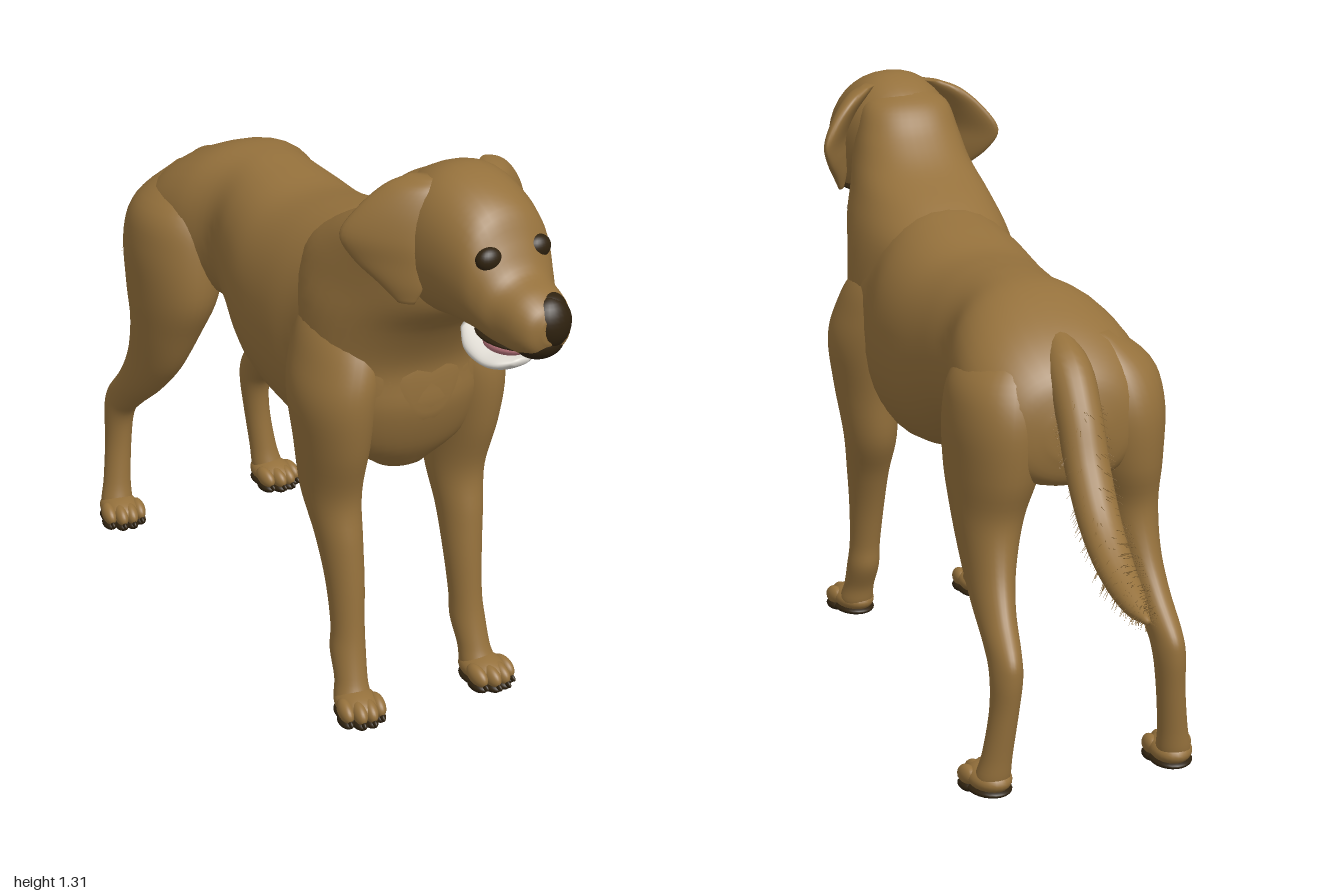
import * as THREE from 'three';
import { mergeGeometries } from 'three/addons/utils/BufferGeometryUtils.js';

const V = (x, y, z) => new THREE.Vector3(x, y, z);
const X = V(1, 0, 0), Y = V(0, 1, 0), Z = V(0, 0, 1);

const mat = (name, color) => {
  const m = new THREE.MeshStandardMaterial({ color });
  m.name = name;
  return m;
};

// Smooth closed skin through rings [x, y, z, radiusA, radiusB]; A and B are the ring's axes.
// Without B the rings stand square to the path.
function loft(rings, A, B, power = 2, seg = 36, sub = 5) {
  const path = new THREE.CatmullRomCurve3(rings.map(r => V(r[0], r[1], r[2])), false, 'catmullrom', 0.5);
  const radii = new THREE.CatmullRomCurve3(rings.map(r => V(r[3], r[4], 0)), false, 'catmullrom', 0.5);
  const n = (rings.length - 1) * sub, pos = [], idx = [];
  const round = v => Math.sign(v) * Math.abs(v) ** (2 / power);
  for (let i = 0; i <= n; i++) {
    const c = path.getPoint(i / n), r = radii.getPoint(i / n);
    const b = B || path.getTangent(i / n).cross(A).normalize();
    for (let j = 0; j < seg; j++) {
      const a = (j / seg) * Math.PI * 2;
      const p = c.clone().addScaledVector(A, round(Math.cos(a)) * r.x).addScaledVector(b, round(Math.sin(a)) * r.y);
      pos.push(p.x, p.y, p.z);
      if (i < n) {
        const k = i * seg, j2 = (j + 1) % seg;
        idx.push(k + j, k + j2, k + seg + j, k + j2, k + seg + j2, k + seg + j);
      }
    }
  }
  // end caps
  const first = pos.length / 3, a = path.getPoint(0), b = path.getPoint(1), k = n * seg;
  pos.push(a.x, a.y, a.z, b.x, b.y, b.z);
  for (let j = 0; j < seg; j++) {
    const j2 = (j + 1) % seg;
    idx.push(first, j2, j, first + 1, k + j, k + j2);
  }
  // turn the faces outward
  const at = i => V(pos[3 * i], pos[3 * i + 1], pos[3 * i + 2]);
  let volume = 0;
  for (let i = 0; i < idx.length; i += 3) volume += at(idx[i]).dot(at(idx[i + 1]).cross(at(idx[i + 2])));
  if (volume < 0) idx.reverse();
  const g = new THREE.BufferGeometry();
  g.setAttribute('position', new THREE.Float32BufferAttribute(pos, 3));
  g.setIndex(idx);
  g.computeVertexNormals();
  return g;
}

export function createModel() {
  const coat = mat('golden brown coat', 0x95713c);
  const dark = mat('dark brown skin', 0x2f220f);
  const pink = mat('pink tongue', 0xb9747c);
  const white = mat('white jaw', 0xdedad2);

  const dog = new THREE.Group();
  dog.name = 'dog';
  const add = (parent, name, geo, material) => {
    const m = new THREE.Mesh(geo, material);
    m.name = name;
    parent.add(m);
    return m;
  };
  const ball = (parent, name, material, p, r, tilt = 0) => {
    const m = add(parent, name, new THREE.SphereGeometry(1, 24, 16), material);
    m.position.set(...p);
    m.scale.set(...r);
    m.rotation.x = tilt;
    return m;
  };

  // Trunk, from chest to rump
  add(dog, 'torso', loft([
    [0, .77, .575, .05, .06], [0, .775, .53, .15, .165], [0, .79, .43, .2, .245], [.005, .793, .31, .196, .277],
    [.01, .795, .2, .21, .265], [.01, .802, .05, .205, .233], [.015, .838, -.08, .178, .203],
    [.018, .855, -.18, .16, .193], [.013, .86, -.28, .192, .182], [.01, .84, -.38, .207, .165],
    [.01, .805, -.46, .19, .152], [.01, .785, -.515, .14, .115], [.01, .78, -.538, .06, .05]], X, Y, 2.2), coat);

  // Neck and breast
  add(dog, 'neck', loft([
    [0, .55, .44, .06, .05], [0, .62, .45, .15, .09], [0, .72, .435, .19, .14], [0, .82, .41, .2, .168],
    [0, .92, .41, .193, .22], [.003, 1.0, .435, .174, .265], [0, 1.07, .495, .152, .222],
    [-.003, 1.13, .565, .134, .163], [-.007, 1.19, .6, .12, .115], [-.01, 1.25, .625, .1, .08],
    [-.01, 1.28, .64, .05, .04]], X, Z, 2.15), coat);

  ball(dog, 'bellyFold', coat, [.01, .635, -.11], [.022, .026, .055], .6);

  // Legs and paws
  const foreRings = [
    [.07, .97, .37, .04, .07], [.11, .89, .395, .082, .12], [.14, .81, .415, .088, .135], [.157, .73, .428, .088, .13],
    [.16, .62, .43, .073, .11], [.155, .5, .42, .061, .084], [.152, .4, .45, .049, .064], [.149, .3, .473, .041, .05],
    [.15, .2, .488, .036, .042], [.153, .14, .495, .038, .044], [.157, .08, .517, .036, .038],
    [.161, .04, .53, .04, .042], [.161, .02, .53, .03, .03]];
  const hindRings = [
    [.08, .965, -.36, .04, .07], [.115, .89, -.365, .1, .13], [.13, .8, -.37, .11, .157], [.142, .68, -.367, .095, .153],
    [.155, .58, -.377, .074, .117], [.167, .48, -.415, .054, .098], [.177, .4, -.475, .042, .082],
    [.184, .33, -.55, .035, .068], [.187, .28, -.58, .034, .048], [.192, .2, -.581, .031, .037],
    [.203, .1, -.57, .033, .034], [.21, .045, -.56, .038, .038], [.21, .02, -.555, .03, .03]];
  const paw = (name, x, z, s) => {
    const p = new THREE.Group();
    p.name = name;
    p.position.set(x, 0, z);
    p.rotation.y = s * .12;
    ball(p, 'pawBody', coat, [0, .037, -.01], [.047, .03, .065]);
    ball(p, 'solePad', dark, [0, .014, -.01], [.048, .014, .062]);
    for (let i = 0; i < 4; i++) {
      const o = i - 1.5, front = .042 - Math.abs(o) * .016;
      ball(p, 'toe', coat, [o * .025, .037, front], [.0165, .022, .034], .25);
      ball(p, 'toePad', dark, [o * .025, .012, front + .002], [.0165, .012, .03]);
      ball(p, 'claw', dark, [o * .025, .021, front + .031], [.005, .007, .011], .4);
    }
    dog.add(p);
  };
  for (const s of [1, -1]) {
    const side = s > 0 ? 'left' : 'right';
    const mirror = rings => rings.map(([x, ...r]) => [s * x, ...r]);
    add(dog, side + 'Foreleg', loft(mirror(foreRings), X, Z), coat);
    add(dog, side + 'HindLeg', loft(mirror(hindRings), X, Z), coat);
    paw(side + 'ForePaw', s * .163, .56, s);
    paw(side + 'HindPaw', s * .213, -.53, s);
  }

  // Tail
  const tailRings = [
    [.01, .945, -.4, .035, .04], [.012, .905, -.485, .05, .05], [.015, .83, -.552, .049, .046],
    [.018, .73, -.61, .048, .043], [.021, .635, -.69, .045, .039], [.025, .57, -.79, .039, .033],
    [.028, .535, -.89, .027, .023], [.03, .525, -.96, .006, .006]];
  add(dog, 'tail', loft(tailRings, X, null, 2, 20), coat);

  // Loose hairs round the tail
  let seed = 7;
  const rand = () => (seed = (seed * 16807) % 2147483647) / 2147483647;
  const spine = new THREE.CatmullRomCurve3(tailRings.map(r => V(r[0], r[1], r[2])));
  const hairs = [];
  for (let i = 0; i < 450; i++) {
    const t = .25 + rand() * .73, a = rand() * Math.PI * 2;
    const along = spine.getTangent(t), up = along.clone().cross(X).normalize();
    const out = X.clone().multiplyScalar(Math.cos(a)).addScaledVector(up, Math.sin(a));
    const dir = out.clone().addScaledVector(along, .9).normalize();
    const r = t < .7 ? .041 : .041 * (1 - t) / .3;
    const h = new THREE.ConeGeometry(.0012, .032, 3, 1, true);
    h.applyQuaternion(new THREE.Quaternion().setFromUnitVectors(Y, dir));
    const p = spine.getPoint(t).addScaledVector(out, r).addScaledVector(dir, .01);
    hairs.push(h.translate(p.x, p.y, p.z));
  }
  add(dog, 'tailHairs', mergeGeometries(hairs), coat);

  // Head, turned slightly to its left
  const head = new THREE.Group();
  head.name = 'head';
  head.rotation.y = .09;
  head.position.set(-.066, 0, .002);
  dog.add(head);
  add(head, 'skullAndMuzzle', loft([
    [0, 1.17, .54, .05, .06], [0, 1.16, .6, .112, .122], [0, 1.153, .68, .134, .158], [0, 1.148, .76, .128, .15],
    [0, 1.127, .83, .113, .132], [0, 1.092, .868, .096, .105], [0, 1.065, .9, .081, .08], [0, 1.054, .95, .07, .068],
    [0, 1.05, .98, .054, .051], [0, 1.053, .994, .025, .026]], X, Y, 2.2), coat);

  // Nose, lips and mouth
  ball(head, 'nose', dark, [.01, 1.058, .963], [.05, .056, .04]);
  ball(head, 'noseBridge', dark, [.016, 1.09, .954], [.036, .027, .034]);
  ball(head, 'frontLip', dark, [0, 1.017, .949], [.054, .036, .043]);
  ball(head, 'mouthLining', dark, [0, .997, .86], [.064, .011, .09]);
  ball(head, 'tongue', pink, [.002, .974, .845], [.045, .02, .058], -.05);
  add(head, 'lowerJaw', loft([
    [0, .982, .75, .045, .02], [0, .957, .785, .062, .026], [0, .943, .835, .062, .02],
    [0, .943, .87, .05, .016], [0, .95, .895, .02, .007]], X, Y), white);

  // Ears and eyes
  const earRings = [
    [.075, 1.29, .665, .014, .035], [.106, 1.27, .66, .024, .058], [.145, 1.225, .652, .022, .075],
    [.172, 1.17, .645, .018, .086], [.162, 1.12, .66, .015, .075], [.146, 1.075, .682, .012, .047], [.139, 1.038, .692, .005, .018]];
  for (const s of [1, -1]) {
    const side = s > 0 ? 'left' : 'right';
    const rings = earRings.map(([x, ...r]) => [s * x, ...r]);
    add(head, side + 'Ear', loft(rings, V(s * .8, 0, .6), V(-s * .6, 0, .8), 2, 28), coat);
    ball(head, side + 'Eye', dark, [s * .06, 1.172, .857], [.031, .026, .022]);
  }
  return dog;
}
